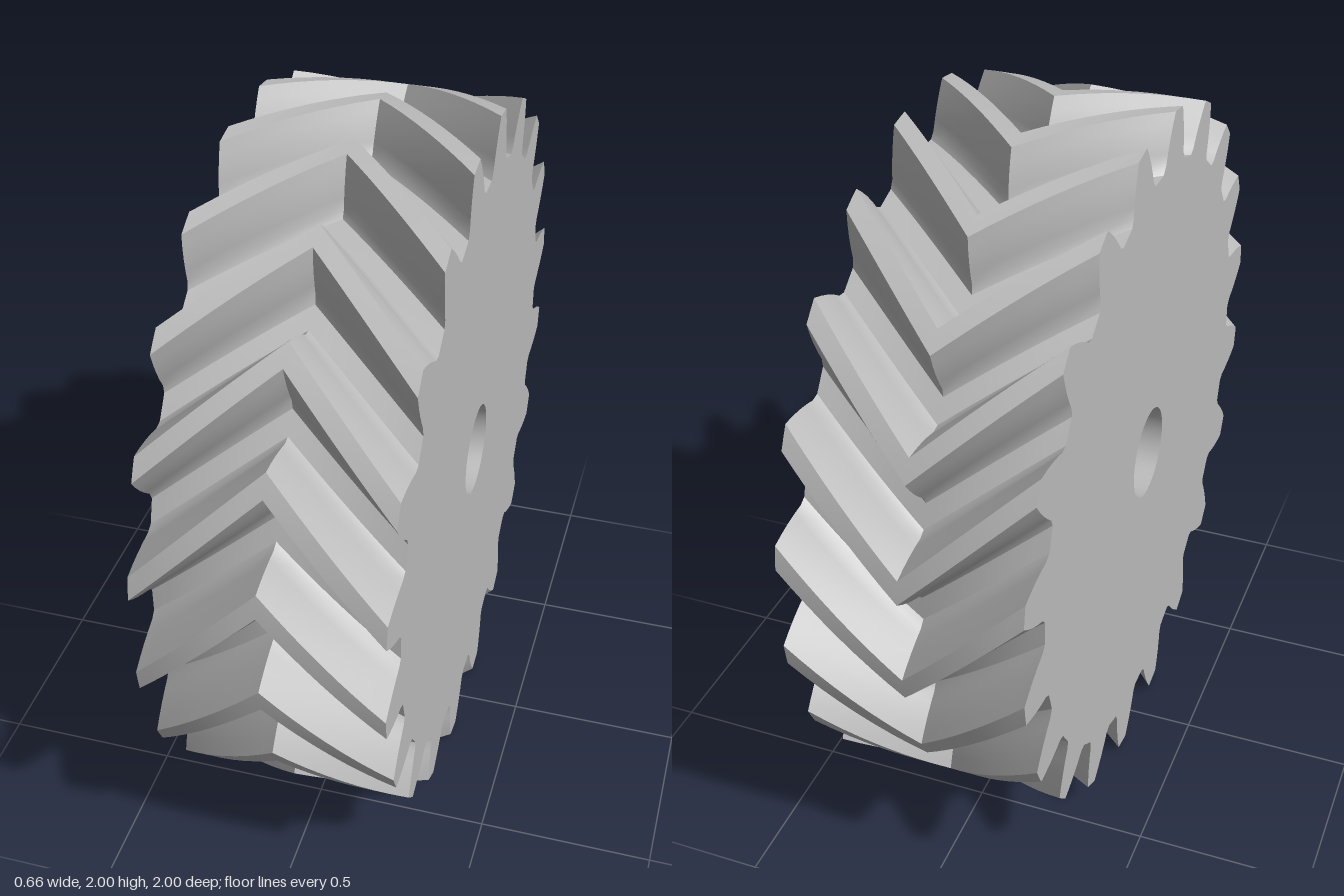
import * as THREE from 'three';
import { toCreasedNormals } from 'three/addons/utils/BufferGeometryUtils.js';

const TEETH = 20;
const HALF_WIDTH = 0.33;
const TWIST = THREE.MathUtils.degToRad(19); // turn of the middle against the end faces
const PITCH = (Math.PI * 2) / TEETH;

// One gap between teeth, from its middle outwards: [radius, half width]
const GAP = [[0.85, 0.035], [0.868, 0.053], [0.9, 0.066], [0.935, 0.083], [0.968, 0.102], [1, 0.123]];

function gearOutline() {
  const points = [];
  const add = (r, a) => points.push(new THREE.Vector2(r * Math.cos(a), r * Math.sin(a)));
  for (let i = 0; i < TEETH; i++) {
    const middle = i * PITCH;
    for (const [r, w] of [...GAP].reverse()) add(r, middle - w / r);
    for (const [r, w] of GAP) add(r, middle + w / r);
    add(1, middle + PITCH / 2); // middle of the tooth tip
  }
  return new THREE.Shape(points);
}

export function createModel() {
  const steel = new THREE.MeshStandardMaterial({ color: 0xbbbbbb });
  steel.name = 'grey steel';

  // Gear profile with a round bore
  const outline = gearOutline();
  outline.holes.push(new THREE.Path().absarc(0, 0, 0.133, 0, Math.PI * 2, true));
  const geometry = new THREE.ExtrudeGeometry(outline, {
    depth: HALF_WIDTH * 2, steps: 16, curveSegments: 24, bevelEnabled: false,
  });
  geometry.translate(0, 0, -HALF_WIDTH);

  // Turn each slice so that the teeth meet in a chevron at the middle
  const pos = geometry.attributes.position;
  const v = new THREE.Vector3();
  const axis = new THREE.Vector3(0, 0, 1);
  for (let i = 0; i < pos.count; i++) {
    v.fromBufferAttribute(pos, i);
    v.applyAxisAngle(axis, -TWIST * (1 - Math.abs(v.z) / HALF_WIDTH));
    pos.setXYZ(i, v.x, v.y, v.z);
  }
  geometry.rotateY(Math.PI / 2);

  const gear = new THREE.Mesh(toCreasedNormals(geometry, THREE.MathUtils.degToRad(28)), steel);
  gear.name = 'herringboneGear';
  gear.position.y = 1;

  const group = new THREE.Group();
  group.name = 'gear';
  group.add(gear);
  return group;
}
